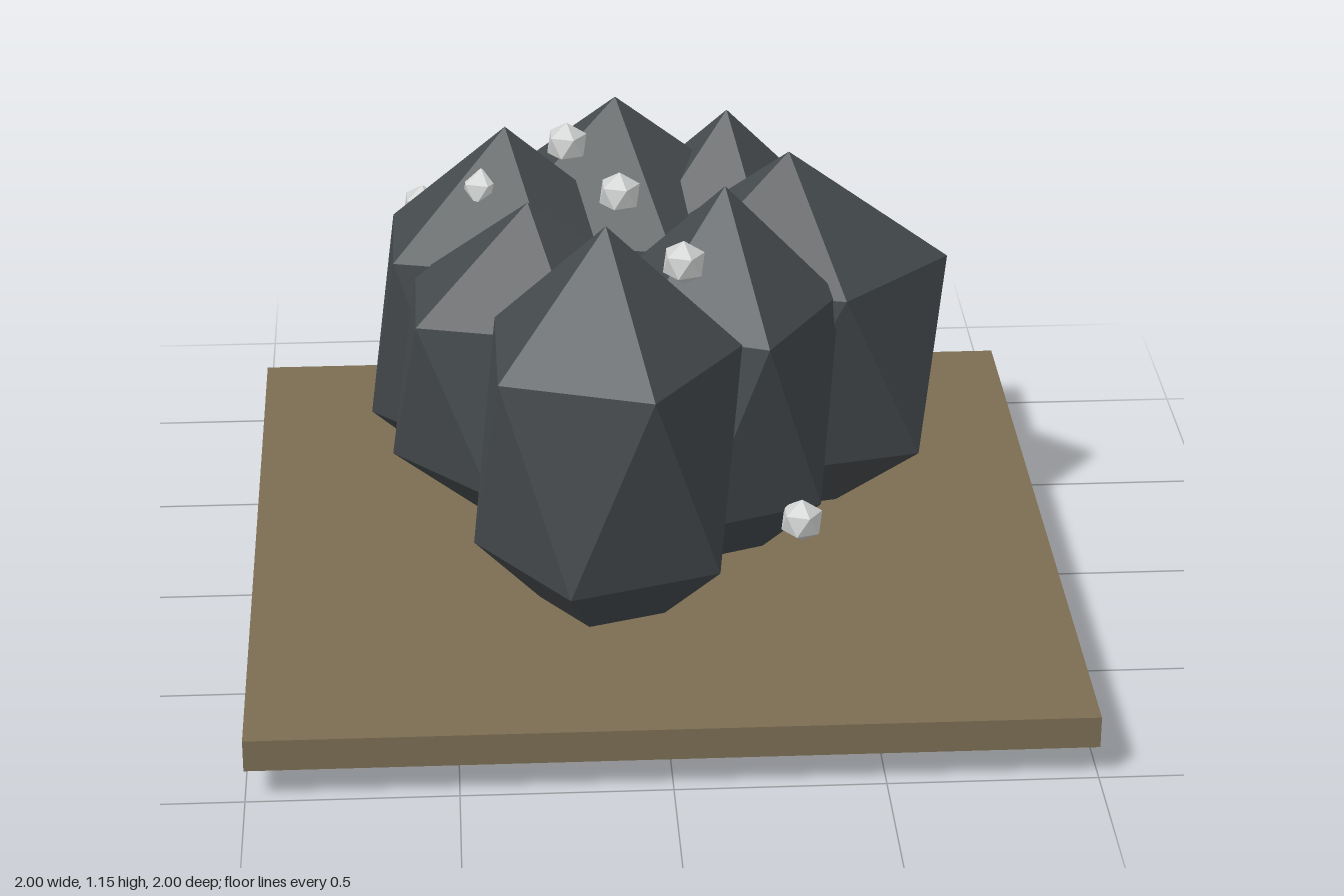
import * as THREE from 'three';

const material = (name, color) => {
  const m = new THREE.MeshStandardMaterial({ color, flatShading: true });
  m.name = name;
  return m;
};

// Icosahedron standing on one corner, with an upper-ring corner towards +x
function uprightIcosahedron() {
  const g = new THREE.IcosahedronGeometry(1, 0);
  g.rotateZ(-Math.atan(2 / (1 + Math.sqrt(5))));
  return g;
}

export function createModel() {
  const group = new THREE.Group();
  group.name = 'rockCluster';
  const earth = material('earth brown', 0x7c6e53);
  const stone = material('dark stone', 0x454a4d);
  const pale = material('pale mineral', 0xd0d1d1);

  // Ground slab
  const slab = new THREE.Mesh(new THREE.BoxGeometry(2, 0.08, 2), earth);
  slab.name = 'groundSlab';
  slab.position.y = 0.126;
  group.add(slab);

  function addStone(name, mat, x, y, z, rx, ry, rz) {
    const g = uprightIcosahedron();
    g.scale(rx, ry, rz);
    const mesh = new THREE.Mesh(g, mat);
    mesh.name = name;
    mesh.position.set(x, y, z);
    group.add(mesh);
  }

  // Tall boulders: x, z, ring radius in x, half height, ring radius in z
  const ring = 2 / Math.sqrt(5);
  [
    [-0.125, 0.345, 0.326, 0.577, 0.326],
    [0.18, 0.028, 0.285, 0.538, 0.33],
    [0.355, -0.2, 0.405, 0.53, 0.28],
    [0.22, -0.485, 0.295, 0.53, 0.32],
    [-0.065, -0.48, 0.42, 0.574, 0.288],
    [-0.348, -0.365, 0.356, 0.545, 0.265],
    [-0.3, -0.055, 0.348, 0.47, 0.27],
  ].forEach(([x, z, rx, h, rz], i) =>
    addStone(`boulder${i + 1}`, stone, x, 0.58, z, rx / ring, h, rz / ring));

  // Small pale nodules on the boulders
  [
    [0.065, 1.022, 0.262],
    [0.358, 0.326, 0.278],
    [-0.07, 1.035, -0.135],
    [-0.41, 0.98, -0.31],
    [-0.56, 0.84, -0.54],
    [-0.19, 1.05, -0.43],
    [-0.55, 0.28, -0.46],
  ].forEach(([x, y, z], i) =>
    addStone(`nodule${i + 1}`, pale, x, y, z, 0.056, 0.056, 0.056));

  return group;
}
